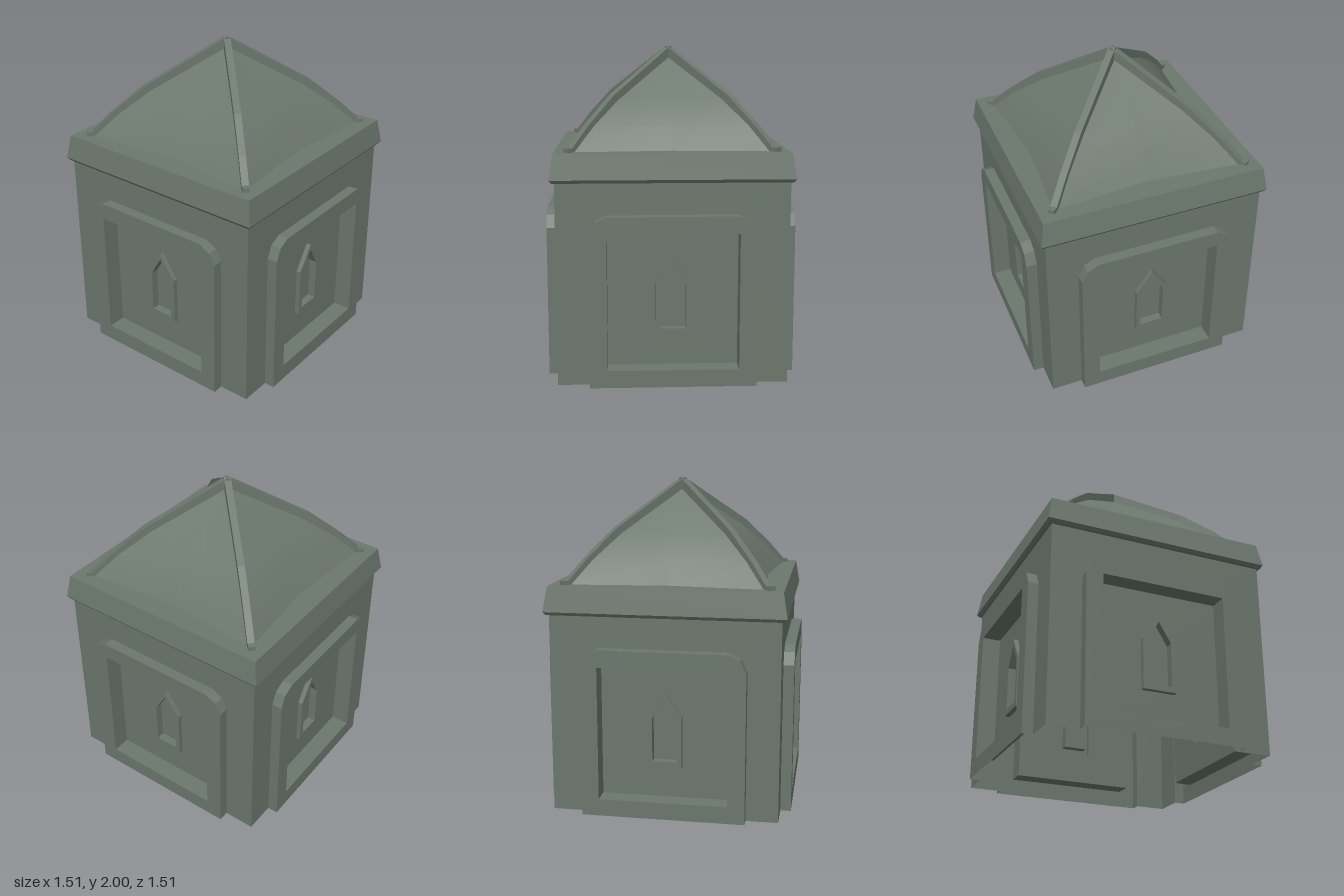
import * as THREE from 'three';

const stone = new THREE.MeshStandardMaterial({ color: 0x6b776d, side: THREE.DoubleSide });
stone.name = 'grey green stone';

const BASE = 1.39; // height of the cornice top, where the roof begins

function mesh(name, geometry) {
  const m = new THREE.Mesh(geometry, stone);
  m.name = name;
  return m;
}

// Hard-edged version of a geometry
function faceted(geometry) {
  const g = geometry.index ? geometry.toNonIndexed() : geometry;
  g.computeVertexNormals();
  return g;
}

// Mirror the right half of an outline (bottom to top) to the left
function mirrored(half) {
  const left = half.filter(([x]) => x > 0).map(([x, y]) => [-x, y]).reverse();
  return [...half, ...left].map(([x, y]) => new THREE.Vector2(x, y));
}

// Flat plate facing +z, with an optional hole
function plate(outline, z, hole) {
  const shape = new THREE.Shape(outline);
  if (hole) shape.holes.push(new THREE.Path(hole));
  return new THREE.ShapeGeometry(shape).translate(0, 0, z);
}

// Strip that joins an outline at depth z0 to the same outline at z1
function band(outline, z0, z1, closed = true) {
  const pos = [];
  const n = outline.length;
  for (let i = 0; i < (closed ? n : n - 1); i++) {
    const a = outline[i], b = outline[(i + 1) % n];
    pos.push(a.x, a.y, z0, b.x, b.y, z0, b.x, b.y, z1);
    pos.push(a.x, a.y, z0, b.x, b.y, z1, a.x, a.y, z1);
  }
  const g = new THREE.BufferGeometry();
  g.setAttribute('position', new THREE.Float32BufferAttribute(pos, 3));
  g.computeVertexNormals();
  return g;
}

// One wall: thin shell with a raised panel, a sunken field and a pointed window
function createWall() {
  const wall = new THREE.Group();
  const W = 0.69, PANEL = 0.755, FIELD = 0.64, FRAME = 0.67, PANE = 0.62;

  const panel = mirrored([[0.495, 0], [0.495, 0.92], [0.46, 0.995], [0.39, 1.03]]);
  const field = mirrored([[0.39, 0.105], [0.39, 0.925]]);
  const frame = mirrored([[0.105, 0.3], [0.105, 0.615], [0, 0.77]]);
  const pane = mirrored([[0.075, 0.335], [0.075, 0.605], [0, 0.73]]);

  // The wall outline steps around the panel, which reaches the ground
  const surround = [
    new THREE.Vector2(W, 0), new THREE.Vector2(W, 1.23),
    new THREE.Vector2(-W, 1.23), new THREE.Vector2(-W, 0),
    ...panel.slice().reverse(),
  ];

  wall.add(
    mesh('wallSurround', plate(surround, W)),
    mesh('panelEdge', band(panel, W, PANEL, false)),
    mesh('panelFace', plate(panel, PANEL, field)),
    mesh('fieldReveal', band(field, FIELD, PANEL)),
    mesh('sunkenField', plate(field, FIELD, frame)),
    mesh('windowFrameEdge', band(frame, FIELD, FRAME)),
    mesh('windowFrameFace', plate(frame, FRAME, pane)),
    mesh('windowReveal', band(pane, PANE, FRAME)),
    mesh('windowPane', plate(pane, PANE)),
  );
  return wall;
}

// Square cornice turned from a four-sided profile
function createCornice() {
  const profile = [[0.69, 1.22], [0.705, 1.22], [0.72, 1.24], [0.695, BASE], [0.53, BASE]]
    .map(([r, y]) => new THREE.Vector2(r * Math.SQRT2, y));
  const g = new THREE.LatheGeometry(profile, 4).rotateY(Math.PI / 4);
  return mesh('cornice', faceted(g));
}

// One curved roof side, its foot drawn in at the middle
function createRoofSide() {
  // half width, height, depth at the middle
  const rows = [[0.605, BASE, 0.55], [0.495, 1.53, 0.465], [0.35, 1.675, 0.34], [0, 1.95, 0]];
  const pos = [], index = [];
  rows.forEach(([c, y, mid], r) => {
    pos.push(-c, y, c, 0, y, mid, c, y, c);
    if (r === rows.length - 1) return;
    for (let i = 0; i < 2; i++) {
      const a = r * 3 + i;
      index.push(a, a + 1, a + 4, a, a + 4, a + 3);
    }
  });
  const g = new THREE.BufferGeometry();
  g.setAttribute('position', new THREE.Float32BufferAttribute(pos, 3));
  g.setIndex(index);
  g.computeVertexNormals();
  return mesh('roofSide', g);
}

// One rib along a roof corner, with a small foot on the cornice
function createRib() {
  const side = [
    [0.625, BASE], [0.625, 1.415], [0.6, 1.415], [0.51, 1.535], [0.36, 1.705], [0, 2],
    [0, 1.93], [0.345, 1.655], [0.48, 1.515], [0.58, BASE],
  ].map(([c, y]) => new THREE.Vector2(c * Math.SQRT2, y));
  const g = new THREE.ExtrudeGeometry(new THREE.Shape(side), { depth: 0.042, bevelEnabled: false });
  return mesh('roofRib', g.translate(0, 0, -0.021).rotateY(Math.PI / 4));
}

export function createModel() {
  const model = new THREE.Group();
  model.name = 'domedPavilion';
  model.add(createCornice());

  // Four identical sides
  const parts = { wall: createWall, roof: createRoofSide, rib: createRib };
  for (let i = 0; i < 4; i++) {
    const quarter = new THREE.Group();
    quarter.name = `side${i + 1}`;
    for (const [name, create] of Object.entries(parts)) {
      const part = create();
      part.name = part.name || name;
      quarter.add(part);
    }
    quarter.rotation.y = i * Math.PI / 2;
    model.add(quarter);
  }
  return model;
}
